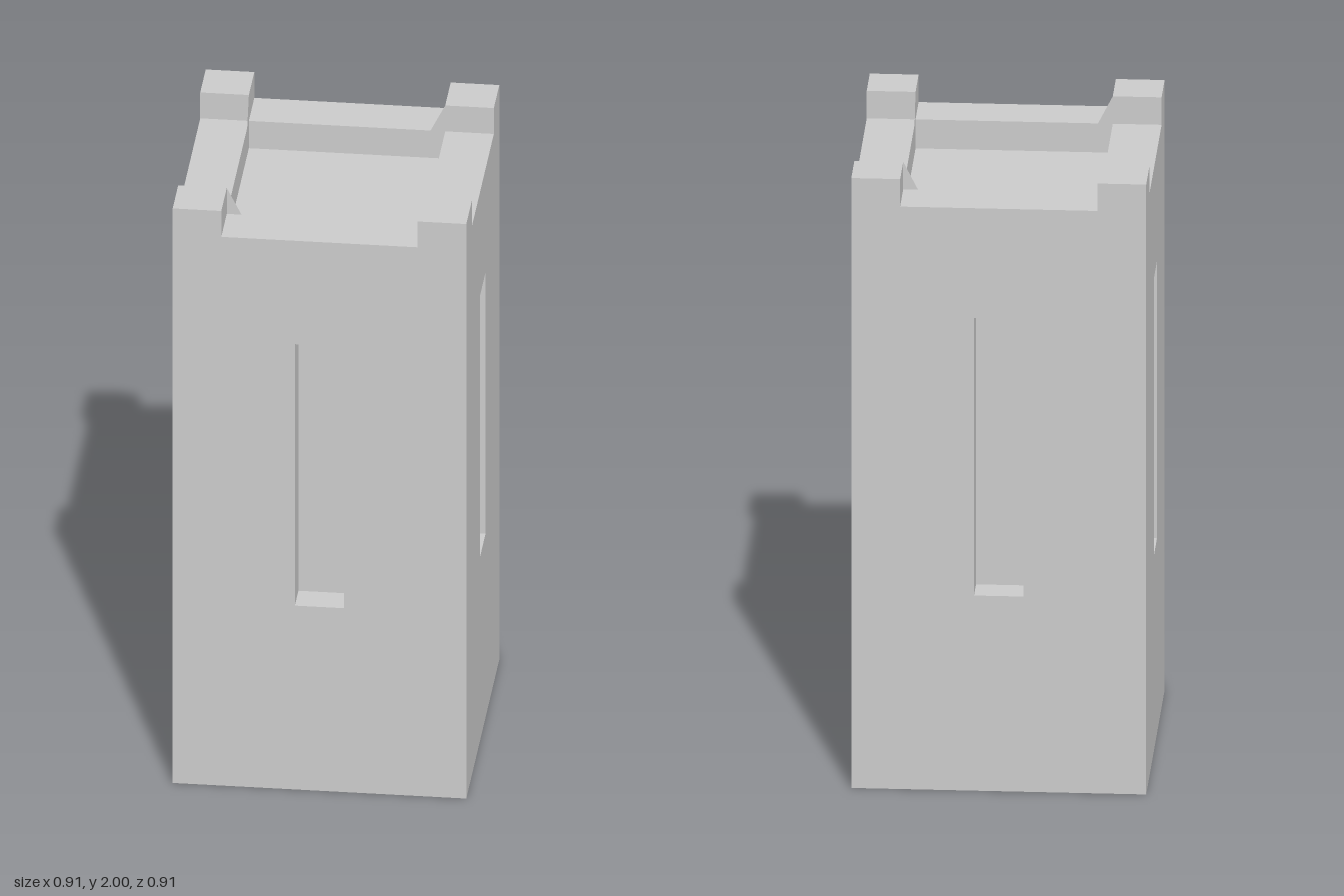
import * as THREE from 'three';

const HALF = 0.453, WALL = 0.15, INNER = HALF - WALL;   // plan sizes
const TOP = 2, PARAPET = 1.91, ROOF = 1.815;            // heights
const SLOT = { half: 0.076, bottom: 0.64, top: 1.55, depth: 0.097 };

const material = new THREE.MeshStandardMaterial({ color: 0xcccccc, flatShading: true });

function addMesh(parent, name, geometry) {
  const mesh = new THREE.Mesh(geometry, material);
  mesh.name = name;
  parent.add(mesh);
  return mesh;
}

function polygon(points, Type) {
  return new Type(points.map(([x, y]) => new THREE.Vector2(x, y)));
}

// One wall with a notched top and a slot, mitred at both ends to meet its neighbours
function wallGeometry() {
  const outline = polygon([
    [-HALF, 0], [HALF, 0], [HALF, TOP], [INNER, TOP], [INNER, PARAPET],
    [-INNER, PARAPET], [-INNER, TOP], [-HALF, TOP],
  ], THREE.Shape);
  const { half, bottom, top } = SLOT;
  outline.holes.push(polygon([
    [-half, bottom], [-half, top], [half, top], [half, bottom],
  ], THREE.Path));

  const geometry = new THREE.ExtrudeGeometry(outline, { depth: WALL, bevelEnabled: false });
  geometry.translate(0, 0, INNER);
  const p = geometry.attributes.position;
  for (let i = 0; i < p.count; i++) {
    const limit = p.getZ(i);
    p.setX(i, THREE.MathUtils.clamp(p.getX(i), -limit, limit));
  }
  geometry.computeVertexNormals();
  return geometry;
}

export function createModel() {
  const tower = new THREE.Group();
  tower.name = 'tower';

  // Solid core: its top is the sunken roof, its underside closes the base
  addMesh(tower, 'coreAndRoof', new THREE.BoxGeometry(INNER * 2, ROOF, INNER * 2))
    .position.y = ROOF / 2;

  // Four identical sides, each a wall and the back of its window slot
  const wall = wallGeometry();
  const backDepth = WALL - SLOT.depth;
  const slotBack = new THREE.BoxGeometry(SLOT.half * 2, SLOT.top - SLOT.bottom, backDepth);
  slotBack.translate(0, (SLOT.top + SLOT.bottom) / 2, INNER + backDepth / 2);

  ['front', 'left', 'back', 'right'].forEach((name, i) => {
    const side = new THREE.Group();
    side.name = name + 'Side';
    side.rotation.y = i * Math.PI / 2;
    addMesh(side, name + 'Wall', wall);
    addMesh(side, name + 'WindowBack', slotBack);
    tower.add(side);
  });

  return tower;
}
